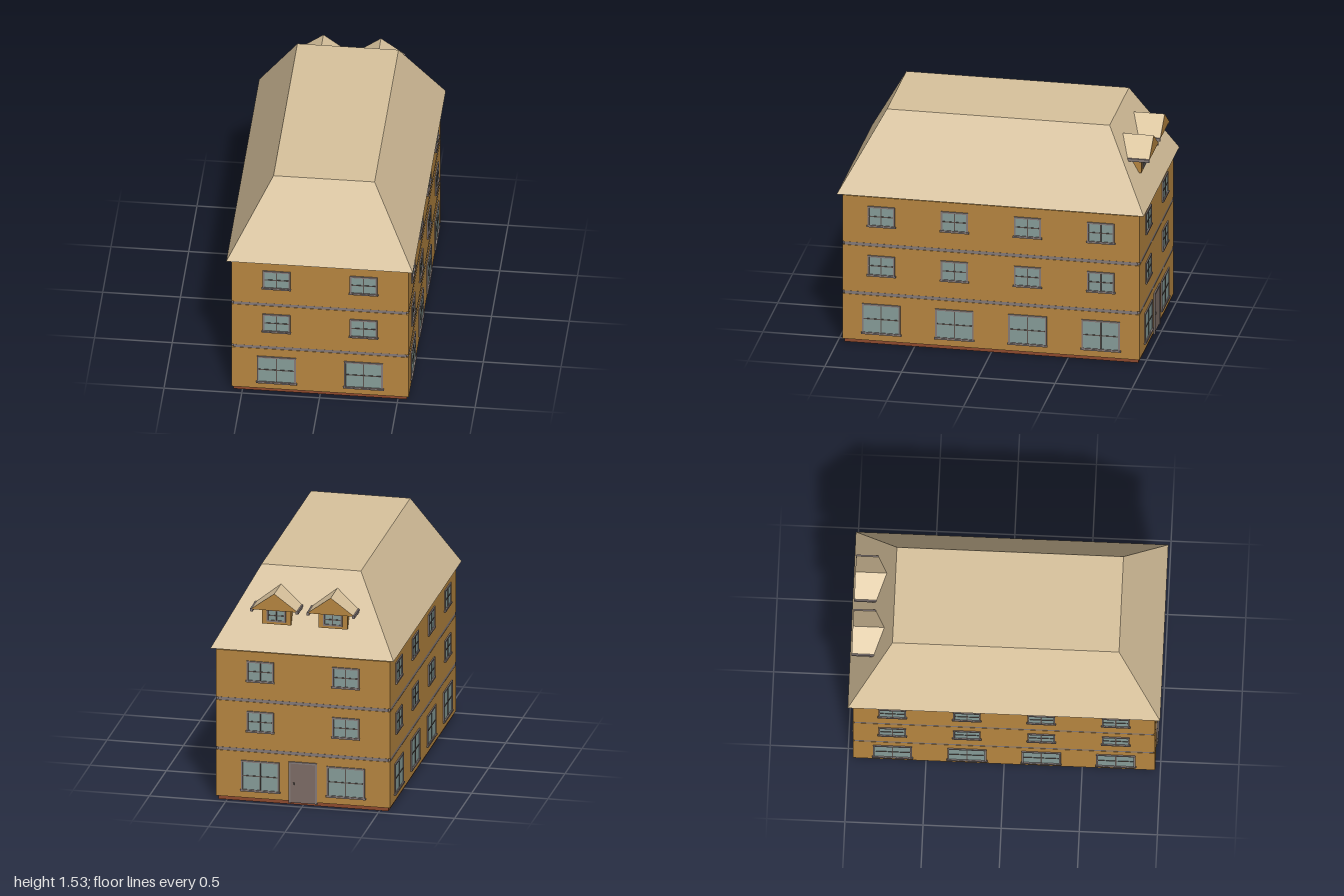
import * as THREE from 'three';

const material = (name, color) => Object.assign(new THREE.MeshStandardMaterial({ color }), { name });

export function createModel() {
  const wall = material('ochre wall', 0xb78640);
  const roof = material('sand roof', 0xd9c39d);
  const plinth = material('red brown plinth', 0x8f4a2e);
  const trim = material('grey trim', 0x857a78);
  const glass = material('grey green glass', 0x879d99);
  const bars = material('dark glazing bars', 0x5c534e);
  const doorPaint = material('taupe door', 0x7d6d66);

  const house = new THREE.Group();
  house.name = 'house';

  function box(parent, name, mat, w, h, d, x, y, z) {
    const mesh = new THREE.Mesh(new THREE.BoxGeometry(w, h, d), mat);
    mesh.name = name;
    mesh.position.set(x, y, z);
    parent.add(mesh);
    return mesh;
  }
  // box between two heights, centred on the house
  const layer = (name, mat, w, d, y0, y1) =>
    box(house, name, mat, w, y1 - y0, d, 0, (y0 + y1) / 2, 0);

  // plinth, inner core and the three storeys separated by shallow grooves
  layer('plinth', plinth, 1.114, 1.914, 0, 0.03);
  layer('wallCore', wall, 1.11, 1.91, 0.03, 1.01);
  layer('groundStorey', wall, 1.14, 1.934, 0.025, 0.336);
  layer('middleStorey', wall, 1.14, 1.934, 0.358, 0.674);
  layer('topStorey', wall, 1.14, 1.934, 0.696, 1.015);

  // string courses set in the grooves, leaving the corners open
  for (const y of [0.347, 0.685]) {
    for (const s of [-1, 1]) {
      box(house, 'stringCourse', trim, 1.112, 0.02, 0.014, 0, y, s * 0.959);
      box(house, 'stringCourse', trim, 0.014, 0.02, 1.912, s * 0.562, y, 0);
    }
  }

  // window on the local z = 0 plane, w and h are the outer frame size
  function makeWindow(w, h, sill = true) {
    const g = new THREE.Group();
    g.name = 'window';
    const t = 0.011;
    box(g, 'glass', glass, w - t, h - t, 0.004, 0, 0, 0.001);
    box(g, 'verticalBar', bars, 0.007, h - 2 * t, 0.006, 0, 0, 0.003);
    box(g, 'horizontalBar', bars, w - 2 * t, 0.007, 0.006, 0, 0, 0.003);
    for (const s of [-1, 1]) {
      box(g, 'frameSide', trim, t, h, 0.012, s * (w - t) / 2, 0, 0.002);
      box(g, 'frameRail', trim, w - 2 * t, t, 0.012, 0, s * (h - t) / 2, 0.002);
    }
    if (sill) box(g, 'sill', trim, w + 0.012, 0.011, 0.018, 0, -h / 2 + 0.003, 0.003);
    return g;
  }

  // four facades, each facing its local +z
  const facades = [
    { name: 'frontFacade', turn: 0, dist: 0.967, cols: [-0.28, 0.28] },
    { name: 'leftFacade', turn: Math.PI / 2, dist: 0.57, cols: [-0.715, -0.238, 0.238, 0.715] },
    { name: 'backFacade', turn: Math.PI, dist: 0.967, cols: [-0.28, 0.28] },
    { name: 'rightFacade', turn: -Math.PI / 2, dist: 0.57, cols: [-0.715, -0.238, 0.238, 0.715] },
  ];
  const rows = [[0.175, 0.25, 0.206], [0.543, 0.177, 0.14], [0.883, 0.177, 0.14]];
  for (const { name, turn, dist, cols } of facades) {
    const facade = new THREE.Group();
    facade.name = name;
    facade.rotation.y = turn;
    for (const x of cols) {
      for (const [y, w, h] of rows) {
        const win = makeWindow(w, h);
        win.position.set(x, y, dist);
        facade.add(win);
      }
    }
    // entrance in the middle of the back
    if (name === 'backFacade') {
      const door = new THREE.Group();
      door.name = 'door';
      door.position.z = dist;
      box(door, 'doorLeaf', doorPaint, 0.165, 0.265, 0.006, 0, 0.148, 0.001);
      box(door, 'doorLintel', trim, 0.185, 0.012, 0.014, 0, 0.286, 0.002);
      for (const s of [-1, 1])
        box(door, 'doorJamb', trim, 0.012, 0.27, 0.014, s * 0.0865, 0.147, 0.002);
      box(door, 'doorHandle', bars, 0.009, 0.012, 0.01, -0.06, 0.145, 0.007);
      facade.add(door);
    }
    house.add(facade);
  }

  // hipped roof with a flat top: a box whose upper corners move inward
  const roofGeo = new THREE.BoxGeometry(1.2, 0.5, 2);
  const p = roofGeo.attributes.position;
  for (let i = 0; i < p.count; i++) {
    if (p.getY(i) > 0) {
      p.setX(i, Math.sign(p.getX(i)) * 0.325);
      p.setZ(i, Math.sign(p.getZ(i)) * 0.725);
    }
  }
  roofGeo.computeVertexNormals();
  const mainRoof = new THREE.Mesh(roofGeo, roof);
  mainRoof.name = 'mainRoof';
  mainRoof.position.y = 1.28;
  house.add(mainRoof);

  // two dormers on the back slope
  const gable = new THREE.Shape([
    new THREE.Vector2(-0.155, 1.31), new THREE.Vector2(0.155, 1.31), new THREE.Vector2(0, 1.424),
  ]);
  for (const s of [-1, 1]) {
    const dormer = new THREE.Group();
    dormer.name = 'dormer';
    dormer.position.x = s * 0.185;
    box(dormer, 'dormerBody', wall, 0.19, 0.115, 0.125, 0, 1.2545, -0.8605);
    const win = makeWindow(0.125, 0.085, false);
    win.position.set(0, 1.257, -0.923);
    win.rotation.y = Math.PI;
    dormer.add(win);
    const top = new THREE.Mesh(
      new THREE.ExtrudeGeometry(gable, { depth: 0.202, bevelEnabled: false }), [wall, roof]);
    top.name = 'dormerRoof';
    top.position.z = -0.985;
    dormer.add(top);
    for (const e of [-1, 1])
      box(dormer, 'dormerGutter', trim, 0.016, 0.02, 0.142, e * 0.149, 1.306, -0.915);
    house.add(dormer);
  }
  return house;
}
